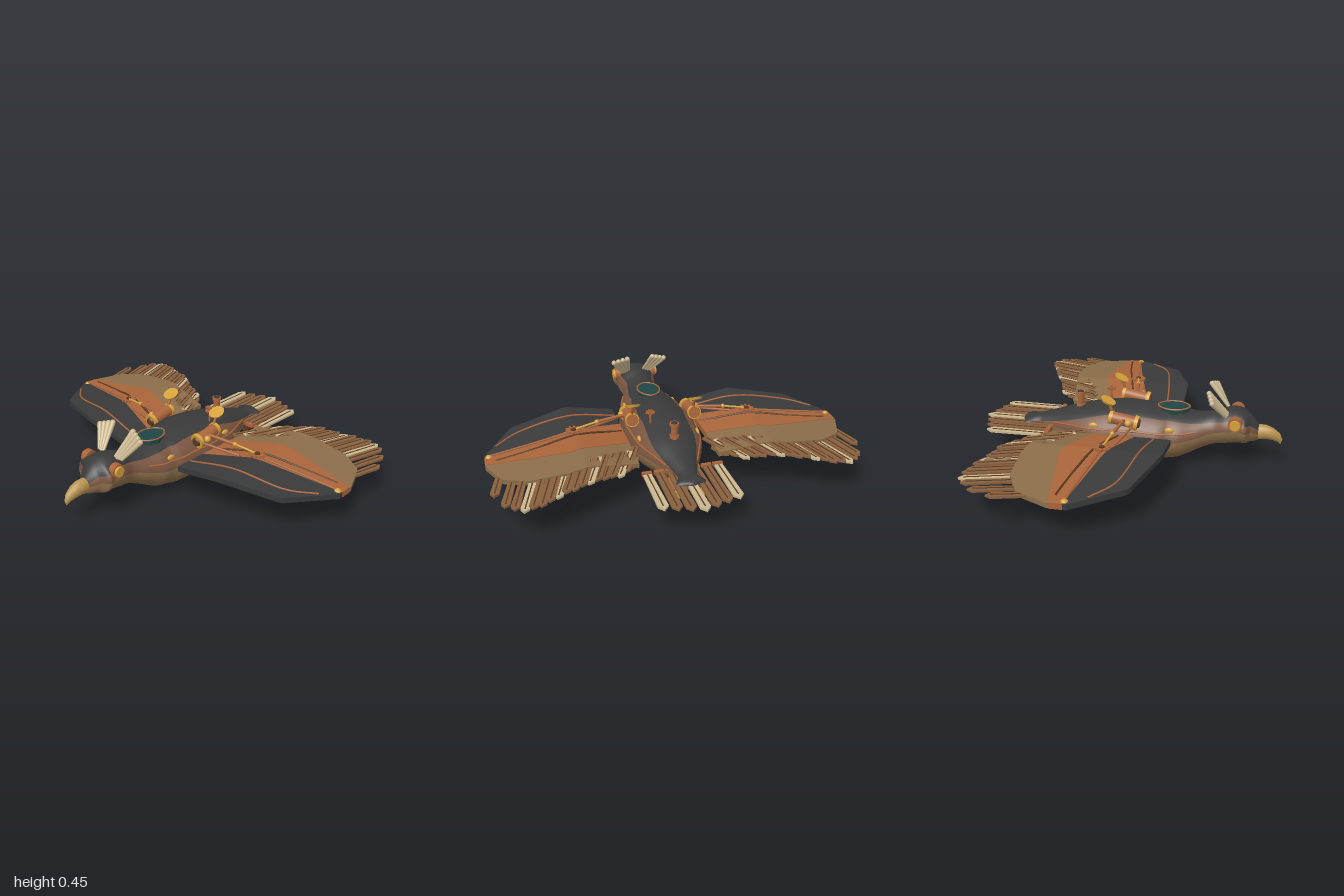
import * as THREE from 'three';

const mat = (name, color) => Object.assign(new THREE.MeshStandardMaterial({ color }), { name });
const M = {
  dark: mat('charcoal', 0x3a3a3b), brown: mat('umber', 0x7a5540), tan: mat('tan', 0x8b6d4a),
  copper: mat('copper', 0xa9643a), gold: mat('gold', 0xd4a03a), cream: mat('cream', 0xc9b68e),
  beak: mat('horn', 0xb8924e), teal: mat('teal glass', 0x1e4644), feather: mat('feather brown', 0x87603f),
  bronze: mat('dark bronze', 0x5c3a22),
};
const V = (x, y, z) => new THREE.Vector3(x, y, z);

// Piecewise linear lookup through [x, value] pairs
const line = (pts) => (x) => {
  let i = 1;
  while (i < pts.length - 1 && x > pts[i][0]) i++;
  const [a, b] = [pts[i - 1], pts[i]];
  return a[1] + (b[1] - a[1]) * THREE.MathUtils.clamp((x - a[0]) / (b[0] - a[0]), 0, 1);
};

// Body rings from head to tail: z, top, bottom, half width, cap angle in degrees
const rings = [
  [0.74, 0.215, 0.175, 0.012, 60], [0.73, 0.24, 0.15, 0.035, 60], [0.68, 0.295, 0.138, 0.08, 60],
  [0.62, 0.328, 0.132, 0.115, 58], [0.55, 0.322, 0.122, 0.115, 56], [0.48, 0.298, 0.108, 0.1, 52],
  [0.4, 0.282, 0.075, 0.13, 45], [0.3, 0.29, 0.025, 0.17, 40], [0.2, 0.3, 0.006, 0.194, 38],
  [0.05, 0.315, 0.003, 0.2, 38], [-0.1, 0.31, 0.004, 0.2, 38], [-0.2, 0.292, 0.022, 0.188, 42],
  [-0.3, 0.272, 0.05, 0.15, 52], [-0.42, 0.236, 0.085, 0.095, 62], [-0.53, 0.204, 0.115, 0.055, 70],
  [-0.62, 0.185, 0.14, 0.03, 75], [-0.63, 0.17, 0.155, 0.004, 75],
];
const spine = new THREE.CatmullRomCurve3(rings.map((r) => V(r[0], r[1], r[2])));
const girth = new THREE.CatmullRomCurve3(rings.map((r) => V(r[3], r[4], 0)));
const bodyPoint = (t, deg) => {
  const s = spine.getPoint(t), g = girth.getPoint(t), a = THREE.MathUtils.degToRad(deg);
  return V(g.x * Math.sin(a), (s.y + s.z) / 2 + (s.y - s.z) / 2 * Math.cos(a), s.x);
};

// Skin over rows of points; pick(j) gives the material index of a column
function skin(grid, pick) {
  const n = grid[0].length, lists = [[], [], []];
  for (let i = 0; i < grid.length - 1; i++) for (let j = 0; j < n; j++) {
    const a = i * n + j, b = i * n + (j + 1) % n;
    lists[pick(j)].push(a, b, a + n, b, b + n, a + n);
  }
  const g = new THREE.BufferGeometry().setFromPoints(grid.flat());
  g.setIndex(lists.flat());
  let start = 0;
  lists.forEach((l, k) => { g.addGroup(start, l.length, k); start += l.length; });
  g.computeVertexNormals();
  return g;
}

export function createModel() {
  const root = new THREE.Group();
  const add = (name, geo, material) => {
    const m = new THREE.Mesh(geo, material);
    m.name = name;
    root.add(m);
    return m;
  };
  const rod = (name, a, b, r0, r1, material, sides = 16) => {
    const m = add(name, new THREE.CylinderGeometry(r1, r0, a.distanceTo(b), sides), material);
    m.position.copy(a).lerp(b, 0.5);
    m.quaternion.setFromUnitVectors(V(0, 1, 0), b.clone().sub(a).normalize());
    return m;
  };
  const tube = (name, pts, r, material) =>
    add(name, new THREE.TubeGeometry(new THREE.CatmullRomCurve3(pts), 40, r, 6), material);
  const ball = (name, p, r, material) =>
    add(name, new THREE.SphereGeometry(r, 14, 10), material).position.copy(p);
  const gear = (name, p, r, teeth, material) => {
    const s = new THREE.Shape();
    for (let i = 0; i < teeth * 4; i++) {
      const a = i / (teeth * 4) * Math.PI * 2, q = i % 4 < 2 ? r : r * 0.72;
      s[i ? 'lineTo' : 'moveTo'](q * Math.cos(a), q * Math.sin(a));
    }
    s.holes.push(new THREE.Path().absarc(0, 0, r * 0.4, 0, Math.PI * 2, true));
    const g = new THREE.ExtrudeGeometry(s, { depth: 0.01, bevelEnabled: false }).rotateX(-Math.PI / 2);
    const m = add(name, g, material);
    m.position.copy(p);
    return m;
  };
  const feather = (name, tip, len, w, lean, material) => {
    const s = new THREE.Shape([[-w * 0.4, 0], [w * 0.4, 0], [w / 2, len - w * 0.6], [0, len], [-w / 2, len - w * 0.6]]
      .map((p) => new THREE.Vector2(...p)));
    const g = new THREE.ExtrudeGeometry(s, { depth: 0.012, bevelEnabled: false });
    g.translate(0, -len, -0.006).rotateX(-Math.PI / 2).rotateY(-lean);
    add(name, g, material).position.copy(tip);
    const vein = new THREE.BoxGeometry(0.006, 0.017, len * 0.85).translate(0, 0, len * 0.52).rotateY(-lean);
    add(name + 'Vein', vein, M.bronze).position.copy(tip);
  };

  // Body with dark back, brown flanks and tan belly
  const grid = [];
  for (let i = 0; i <= 80; i++) {
    const t = i / 80, cap = girth.getPoint(t).y, half = [];
    for (let k = 0; k <= 6; k++) half.push(cap * k / 6);
    for (let k = 1; k <= 4; k++) half.push(cap + (88 - cap) * k / 4);
    for (let k = 1; k <= 8; k++) half.push(88 + 92 * k / 8);
    const all = [...half, ...half.slice(1, -1).reverse().map((a) => -a)];
    grid.push(all.map((a) => bodyPoint(t, a)));
  }
  const band = (j) => { const k = j < 18 ? j : 35 - j; return k < 6 ? 0 : k < 10 ? 1 : 2; };
  add('body', skin(grid, band), [M.dark, M.brown, M.tan]);

  // Hooked beak
  const beakRows = [[0.72, 0.195, 0.036, 0.045], [0.77, 0.198, 0.037, 0.04], [0.81, 0.188, 0.031, 0.035],
    [0.84, 0.17, 0.02, 0.026], [0.855, 0.148, 0.01, 0.014], [0.854, 0.132, 0.002, 0.003]].reverse()
    .map(([z, y, w, h], i) => Array.from({ length: 16 }, (_, j) => {
      const a = j / 8 * Math.PI, bend = Math.max(0, 3 - i) * 0.35;
      return V(w * Math.sin(a), y + h * Math.cos(a) * Math.cos(bend), z + h * Math.cos(a) * Math.sin(bend));
    }));
  add('beak', skin(beakRows, () => 0), [M.beak, M.beak, M.beak]);

  // Glass gem on the back with its rim
  const gem = [[0, -0.09], [0.05, -0.055], [0.065, 0], [0.045, 0.06], [0, 0.09], [-0.045, 0.06], [-0.065, 0], [-0.05, -0.055]];
  const gemShape = new THREE.Shape(gem.map((p) => new THREE.Vector2(...p)));
  add('gem', new THREE.ExtrudeGeometry(gemShape, { depth: 0.03, bevelEnabled: false }).rotateX(-Math.PI / 2), M.teal)
    .position.set(0, 0.284, 0.255);
  add('gemRim', new THREE.TubeGeometry(new THREE.CatmullRomCurve3(gem.map(([x, y]) => V(x, 0.314, 0.255 - y)), true), 48, 0.005, 6, true), M.copper);

  // Chimney and the small gear on its post
  rod('chimney', V(0, 0.25, -0.285), V(0, 0.35, -0.285), 0.019, 0.019, M.copper);
  rod('chimneyFoot', V(0, 0.265, -0.285), V(0, 0.285, -0.285), 0.027, 0.025, M.copper);
  rod('chimneyLip', V(0, 0.342, -0.285), V(0, 0.358, -0.285), 0.026, 0.026, M.copper);
  rod('chimneyMouth', V(0, 0.356, -0.285), V(0, 0.36, -0.285), 0.018, 0.018, M.dark);
  rod('gearPost', V(0.09, 0.27, -0.125), V(0.09, 0.37, -0.125), 0.006, 0.006, M.copper);
  gear('backGear', V(0.09, 0.35, -0.125), 0.026, 8, M.copper);

  // Tail fan
  for (let i = -3; i <= 3; i++) {
    const k = Math.abs(i), x = i * 0.065;
    feather('tailFeather', V(x, 0.165 - k * 0.001, -0.857 + k * 0.022), 0.417 - k * 0.022, 0.056, 0, k % 3 ? M.feather : M.cream);
    add('tailFeatherClip', new THREE.BoxGeometry(0.054, 0.02, 0.022), M.copper).position.set(x, 0.165, -0.443);
  }

  // Wing height and panel edges as functions of distance from the middle
  const lift = line([[0.22, 0.188], [0.5, 0.238], [1, 0.186]]);
  const edges = [
    line([[0.22, 0.27], [0.5, 0.27], [0.83, 0.16], [1, -0.1]]),
    line([[0.22, 0.07], [0.56, -0.03], [1, -0.12]]),
    line([[0.22, -0.16], [0.56, -0.255], [1, -0.19]]),
    line([[0.22, -0.39], [0.6, -0.45], [0.8, -0.44], [0.93, -0.37], [1, -0.2]]),
  ];
  const tips = line([[0.27, -0.41], [0.35, -0.5], [0.45, -0.53], [0.55, -0.59], [0.65, -0.62], [0.75, -0.67], [0.85, -0.695], [0.93, -0.64], [0.985, -0.5]]);

  for (const s of [1, -1]) {
    const P = (x, y, z) => V(s * x, y, z);
    const onWing = (x, z, up = 0.016) => P(x, lift(x) + up, z);

    // Wing panels: dark front, copper band, tan rear
    [['wingFront', M.dark, 0.03], ['wingBand', M.copper, 0.032], ['wingRear', M.tan, 0.026]].forEach(([name, m, thick], k) => {
      const g = new THREE.BoxGeometry(1, 1, 1, 48, 1, 1), p = g.attributes.position;
      for (let i = 0; i < p.count; i++) {
        const x = 0.22 + 0.78 * (s * p.getX(i) + 0.5), front = p.getZ(i) > 0;
        p.setXYZ(i, s * x, lift(x) + p.getY(i) * thick, edges[front ? k : k + 1](x));
      }
      g.computeVertexNormals();
      add(name, g, m);
    });

    // Flight feathers
    for (let i = 0; i < 18; i++) {
      const x = 0.27 + i * 0.042, lean = 0.45 - i * 0.012;
      feather('wingFeather', P(x, lift(x - 0.04) + (i % 2) * 0.006 - 0.003, tips(x)), i ? 0.27 : 0.12, 0.046, s * lean, i % 4 === 2 ? M.cream : M.feather);
    }

    // Trim lines, gear, struts and wing tip ball
    tube('wingTrim', [[0.23, 0.18], [0.5, 0.15], [0.8, 0.085], [0.93, -0.015]].map(([x, z]) => onWing(x, z)), 0.005, M.copper);
    tube('bandTrim', [[0.23, -0.02], [0.5, -0.085], [0.75, -0.14], [0.94, -0.17]].map(([x, z]) => onWing(x, z)), 0.006, M.bronze);
    tube('wingCable', [[0.5, -0.045], [0.6, -0.06], [0.8, -0.09], [0.98, -0.115]].map(([x, z]) => onWing(x, z, 0.02)), 0.006, M.copper);
    rod('wingHub', onWing(0.505, -0.045, 0), onWing(0.505, -0.045, 0.036), 0.014, 0.014, M.bronze);
    gear('wingGear', onWing(0.505, -0.045, 0.02), 0.045, 10, M.copper);
    ball('wingTipBall', P(0.975, 0.195, -0.115), 0.021, M.gold);
    rod('strut', P(0.19, 0.292, 0.01), P(0.37, 0.283, -0.02), 0.009, 0.009, M.copper);
    rod('strutRod', P(0.37, 0.283, -0.02), P(0.505, 0.266, -0.045), 0.006, 0.006, M.gold);
    ball('strutJoint', P(0.37, 0.283, -0.02), 0.013, M.gold);
    rod('lowerStrut', P(0.2, 0.26, 0.06), P(0.42, 0.24, 0.0), 0.007, 0.007, M.copper);

    // Shoulder engine with its dish
    rod('engine', P(0.18, 0.268, 0.075), P(0.18, 0.295, -0.08), 0.034, 0.034, M.copper, 20);
    rod('engineFrontRing', P(0.18, 0.267, 0.082), P(0.18, 0.271, 0.062), 0.042, 0.042, M.gold, 20);
    rod('engineNozzle', P(0.18, 0.265, 0.092), P(0.18, 0.267, 0.08), 0.022, 0.028, M.bronze);
    rod('engineRearRing', P(0.18, 0.291, -0.06), P(0.18, 0.295, -0.078), 0.039, 0.039, M.gold, 20);
    ball('engineValve', P(0.218, 0.28, 0.035), 0.02, M.gold);
    rod('dishPost', P(0.178, 0.3, -0.05), P(0.178, 0.385, -0.086), 0.008, 0.008, M.copper);
    rod('dish', P(0.178, 0.38, -0.088), P(0.178, 0.392, -0.082), 0.036, 0.044, M.gold, 24);

    // Flank trim and rivets
    tube('flankTrim', Array.from({ length: 16 }, (_, i) => bodyPoint(0.38 + i * 0.029, s * 68)), 0.006, M.copper);
    for (const t of [0.47, 0.67]) {
      const p = bodyPoint(t, s * 60);
      const m = add('flankRivet', new THREE.SphereGeometry(0.02, 14, 10), M.gold);
      m.position.copy(p);
      m.scale.set(0.5, 0.8, 1.3);
    }

    // Eye
    rod('eyeRim', P(0.09, 0.275, 0.605), P(0.126, 0.275, 0.605), 0.039, 0.039, M.copper, 24);
    rod('eye', P(0.1, 0.275, 0.605), P(0.138, 0.275, 0.605), 0.033, 0.028, M.gold, 24);

    // Crest quills
    for (let i = 0; i < 4; i++) {
      const a = P(0.045 + i * 0.014, 0.305, 0.562 - i * 0.004), b = P(0.078 + i * 0.026, 0.432 - i * 0.009, 0.455 + i * 0.008);
      rod('crestQuill', a, b, 0.009, 0.015, M.cream, 10);
      ball('crestQuillTip', b, 0.015, M.cream);
    }

    // Thruster under the tail
    rod('thruster', P(0.07, 0.128, -0.47), P(0.07, 0.128, -0.6), 0.034, 0.034, M.copper, 20);
    rod('thrusterCollar', P(0.07, 0.128, -0.465), P(0.07, 0.128, -0.49), 0.037, 0.037, M.bronze, 20);
    rod('thrusterRing', P(0.07, 0.128, -0.59), P(0.07, 0.128, -0.61), 0.038, 0.038, M.copper, 20);
    rod('thrusterMouth', P(0.07, 0.128, -0.605), P(0.07, 0.128, -0.613), 0.028, 0.028, M.gold, 20);
  }
  return root;
}
